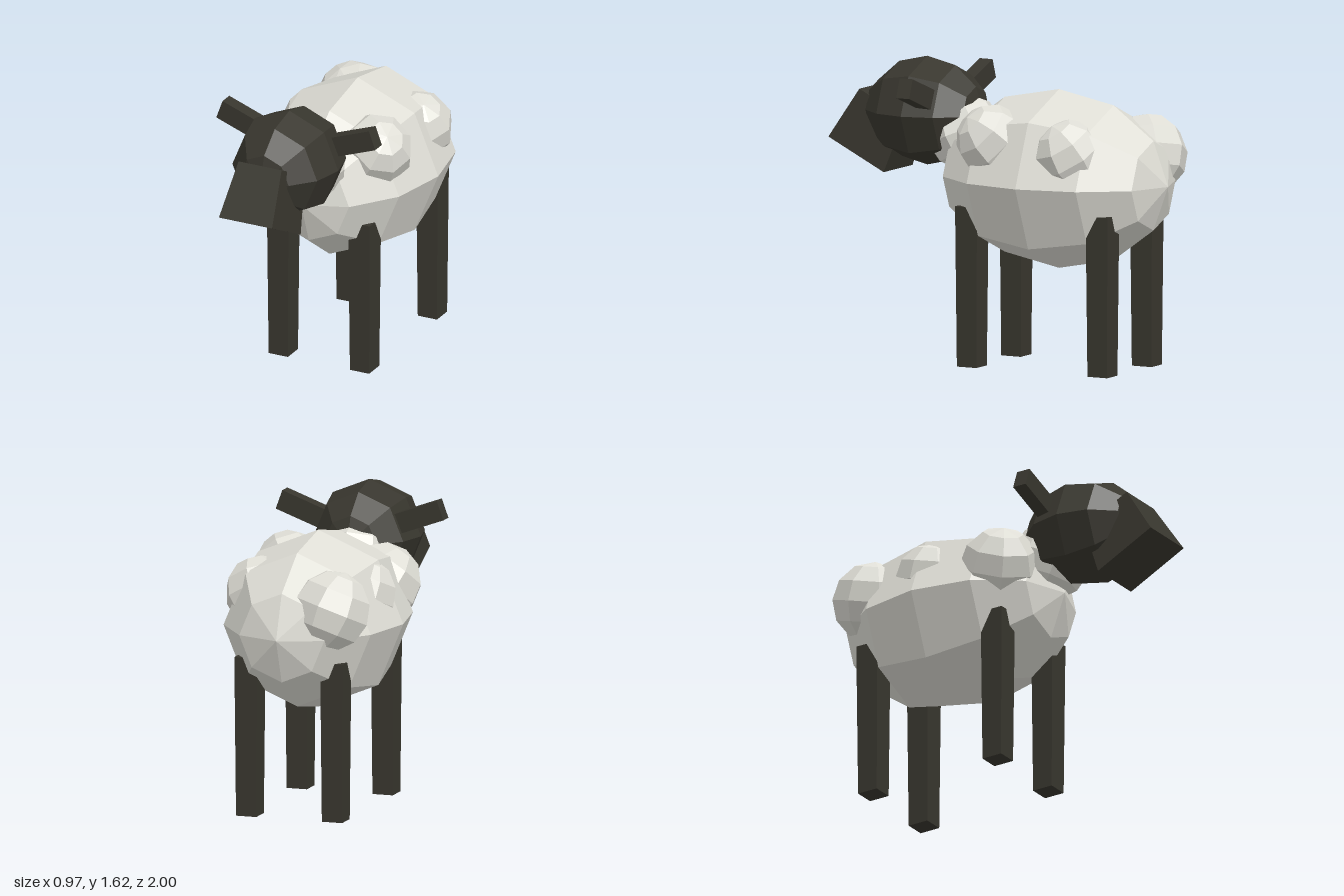
import * as THREE from 'three';

export function createModel() {
  const model = new THREE.Group();
  const wool = new THREE.MeshStandardMaterial({ color: 0xdeddd5, flatShading: true });
  wool.name = 'wool';
  const hide = new THREE.MeshStandardMaterial({ color: 0x38362e, flatShading: true });
  hide.name = 'dark hide';

  const add = (name, geometry, material, x, y, z) => {
    const mesh = new THREE.Mesh(geometry, material);
    mesh.name = name;
    mesh.position.set(x, y, z);
    model.add(mesh);
    return mesh;
  };

  // Faceted ellipsoid with its poles on the z axis
  const ball = (rx, ry, rz) =>
    new THREE.SphereGeometry(1, 8, 6).rotateX(Math.PI / 2).scale(rx, ry, rz);

  // Square post, wider at one end
  const post = (bottomW, bottomD, topW, height) => {
    const g = new THREE.CylinderGeometry(topW / Math.SQRT2, bottomW / Math.SQRT2, height, 4, 1);
    return g.rotateY(Math.PI / 4).scale(1, 1, bottomD / bottomW);
  };

  // Fleece
  add('body', ball(0.485, 0.485, 0.67), wool, 0, 1.015, -0.33);

  // Wool tufts: x, y, z, radius, tilt
  const tufts = [
    [-0.22, 1.15, 0.07, 0.22, 0.5],
    [-0.225, 1.15, -0.75, 0.22, 0.3],
    [0.25, 1.23, -0.06, 0.2, 0.6],
    [0.25, 1.18, -0.54, 0.2, 0.4],
    [-0.25, 1.17, -0.35, 0.2, 0.3],
    [0, 1.23, 0.25, 0.215, 0.4],
  ];
  for (const [x, y, z, r, tilt] of tufts) {
    const tuft = add('woolTuft', new THREE.SphereGeometry(r, 8, 6), wool, x, y, z);
    tuft.rotation.set(tilt, 0, x ? -Math.sign(x) * tilt : 0);
  }

  // Head and muzzle
  add('head', ball(0.295, 0.295, 0.345), hide, 0, 1.33, 0.48);
  const muzzle = add('muzzle', post(0.32, 0.38, 0.26, 0.317), hide, 0, 1.227, 0.759);
  muzzle.rotation.x = -0.464;

  for (const side of [-1, 1]) {
    // Ears
    const ear = add(side > 0 ? 'leftEar' : 'rightEar',
      new THREE.BoxGeometry(0.4, 0.11, 0.08), hide, side * 0.272, 1.442, 0.365);
    ear.rotation.z = side * 0.35;

    // Legs
    for (const [name, z] of [['frontLeg', 0.07], ['backLeg', -0.733]]) {
      add(name, post(0.116, 0.12, 0.13, 0.87), hide, side * 0.245, 0.435, z);
    }
  }
  return model;
}
